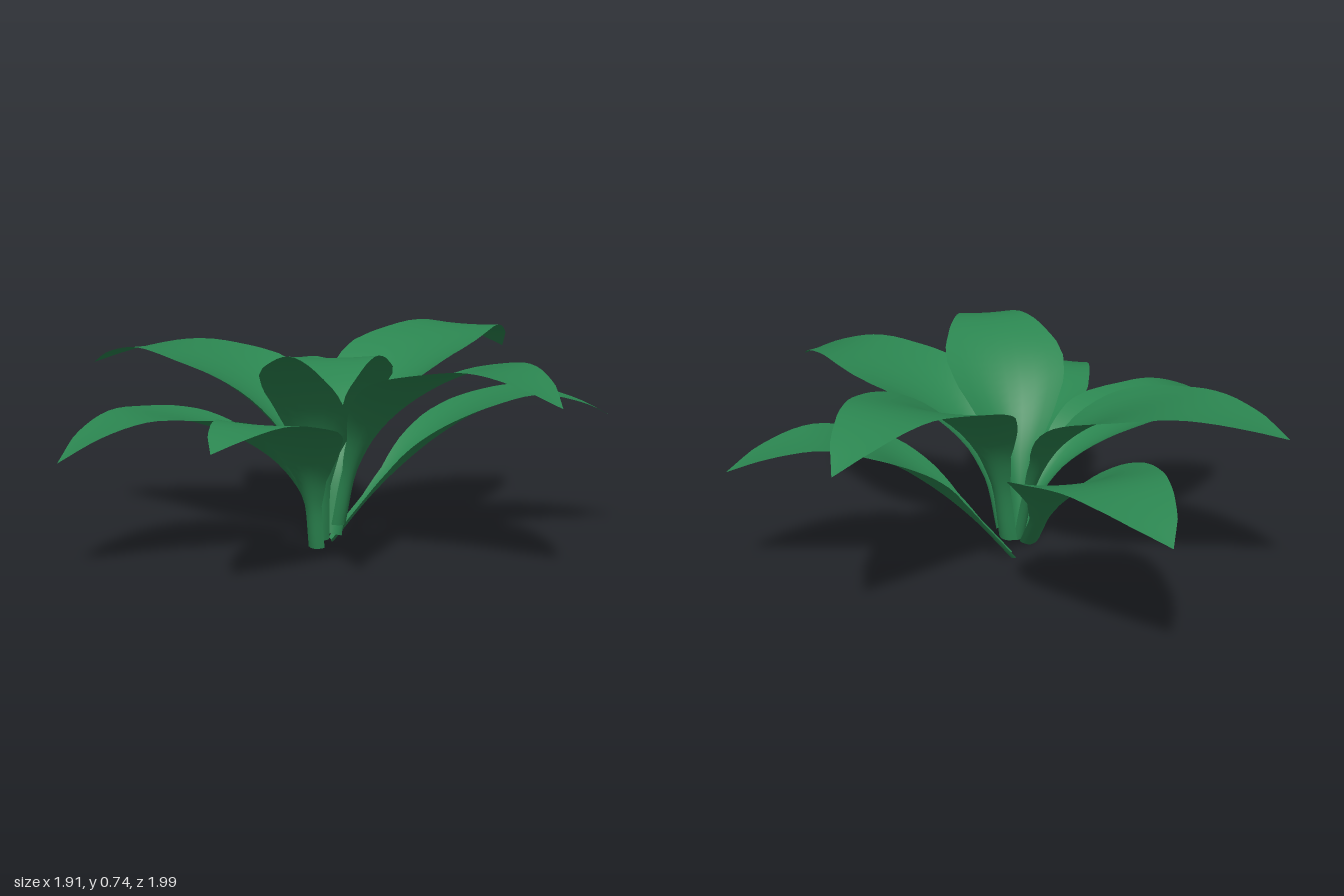
import * as THREE from 'three';

const material = new THREE.MeshStandardMaterial({ color: 0x2b8550, side: THREE.DoubleSide });

// Midrib shapes: [fraction of reach, fraction of the rise from base to crest]
const upright = [[0.05, 0.33], [0.15, 0.6], [0.33, 0.83], [0.54, 0.97], [0.7, 1]];
const leaning = [[0.15, 0.34], [0.33, 0.66], [0.52, 0.91], [0.68, 1]];

// Half-width along the leaf: narrow stalk, broad blade, pointed tip
const outline = [[0, 0.16], [0.15, 0.16], [0.25, 0.31], [0.35, 0.64], [0.45, 0.92], [0.53, 1],
  [0.6, 0.97], [0.7, 0.83], [0.8, 0.63], [0.9, 0.37], [1, 0]];
const widthAt = (s) => {
  const k = Math.max(1, outline.findIndex(([p]) => p >= s));
  const [[s0, w0], [s1, w1]] = [outline[k - 1], outline[k]];
  return THREE.MathUtils.lerp(w0, w1, (s - s0) / (s1 - s0));
};

// Leaf swept along its midrib, with the edges cupped upward near the stalk
function leafGeometry({ base, tip, crest, halfWidth, shape, bow, taper = 1 }) {
  const start = new THREE.Vector3(...base);
  const end = new THREE.Vector3(...tip);
  const reach = end.clone().sub(start).setY(0);
  const side = new THREE.Vector3(reach.z, 0, -reach.x).normalize();
  const along = (f, y) => start.clone().addScaledVector(reach, f)
    .addScaledVector(side, bow * Math.sin(Math.PI * f)).setY(y);
  const droop = THREE.MathUtils.lerp(crest, tip[1], 0.38);
  const midrib = new THREE.CatmullRomCurve3([
    start,
    ...shape.map(([f, r]) => along(f, base[1] + (crest - base[1]) * r)),
    along(0.87, droop),
    end,
  ]);

  const rows = 32, cols = 8, positions = [], index = [];
  for (let i = 0; i <= rows; i++) {
    const s = i / rows;
    const point = midrib.getPointAt(s);
    const normal = midrib.getTangentAt(s).cross(side).normalize();
    const w = halfWidth * widthAt(s) ** (s > 0.53 ? taper : 1);
    const cup = w * THREE.MathUtils.lerp(0.5, 0.04, THREE.MathUtils.smoothstep(s, 0.2, 0.7));
    for (let j = 0; j <= cols; j++) {
      const t = (j / cols) * 2 - 1;
      const p = point.clone().addScaledVector(side, w * t).addScaledVector(normal, cup * t * t);
      positions.push(p.x, Math.max(0, p.y), p.z);
      if (i < rows && j < cols) {
        const a = i * (cols + 1) + j, c = a + cols + 1;
        index.push(a, c, a + 1, a + 1, c, c + 1);
      }
    }
  }
  const geometry = new THREE.BufferGeometry();
  geometry.setAttribute('position', new THREE.Float32BufferAttribute(positions, 3));
  geometry.setIndex(index);
  geometry.computeVertexNormals();
  return geometry;
}

const leaves = {
  backLeaf: { base: [-0.12, 0.08, -0.01], tip: [-0.4, 0.45, -1], crest: 0.55, halfWidth: 0.24, shape: leaning, bow: -0.05 },
  backLeftLeaf: { base: [-0.05, 0.04, 0.14], tip: [0.62, 0.61, -0.65], crest: 0.72, halfWidth: 0.24, shape: upright, bow: -0.02 },
  leftLeaf: { base: [-0.06, 0, 0.07], tip: [0.95, 0.42, -0.03], crest: 0.52, halfWidth: 0.19, shape: leaning, bow: 0.02 },
  frontLeftLeaf: { base: [-0.03, 0.08, 0.17], tip: [0.63, 0.58, 0.83], crest: 0.67, halfWidth: 0.23, shape: upright, bow: 0.06 },
  frontLeaf: { base: [-0.11, 0.03, 0.2], tip: [-0.06, 0.62, 0.99], crest: 0.73, halfWidth: 0.22, shape: upright, bow: 0, taper: 1.4 },
  frontRightLeaf: { base: [-0.13, 0.03, 0.32], tip: [-0.46, 0.46, 0.92], crest: 0.52, halfWidth: 0.19, shape: upright, bow: 0.02 },
  rightLeaf: { base: [-0.12, 0.03, 0.16], tip: [-0.96, 0.38, 0.6], crest: 0.5, halfWidth: 0.21, shape: upright, bow: -0.07 },
  backRightLeaf: { base: [-0.12, 0.03, 0.17], tip: [-0.93, 0.58, -0.43], crest: 0.66, halfWidth: 0.25, shape: upright, bow: -0.06 },
};

export function createModel() {
  const plant = new THREE.Group();
  plant.name = 'leafyPlant';
  for (const [name, spec] of Object.entries(leaves)) {
    const leaf = new THREE.Mesh(leafGeometry(spec), material);
    leaf.name = name;
    plant.add(leaf);
  }
  return plant;
}
